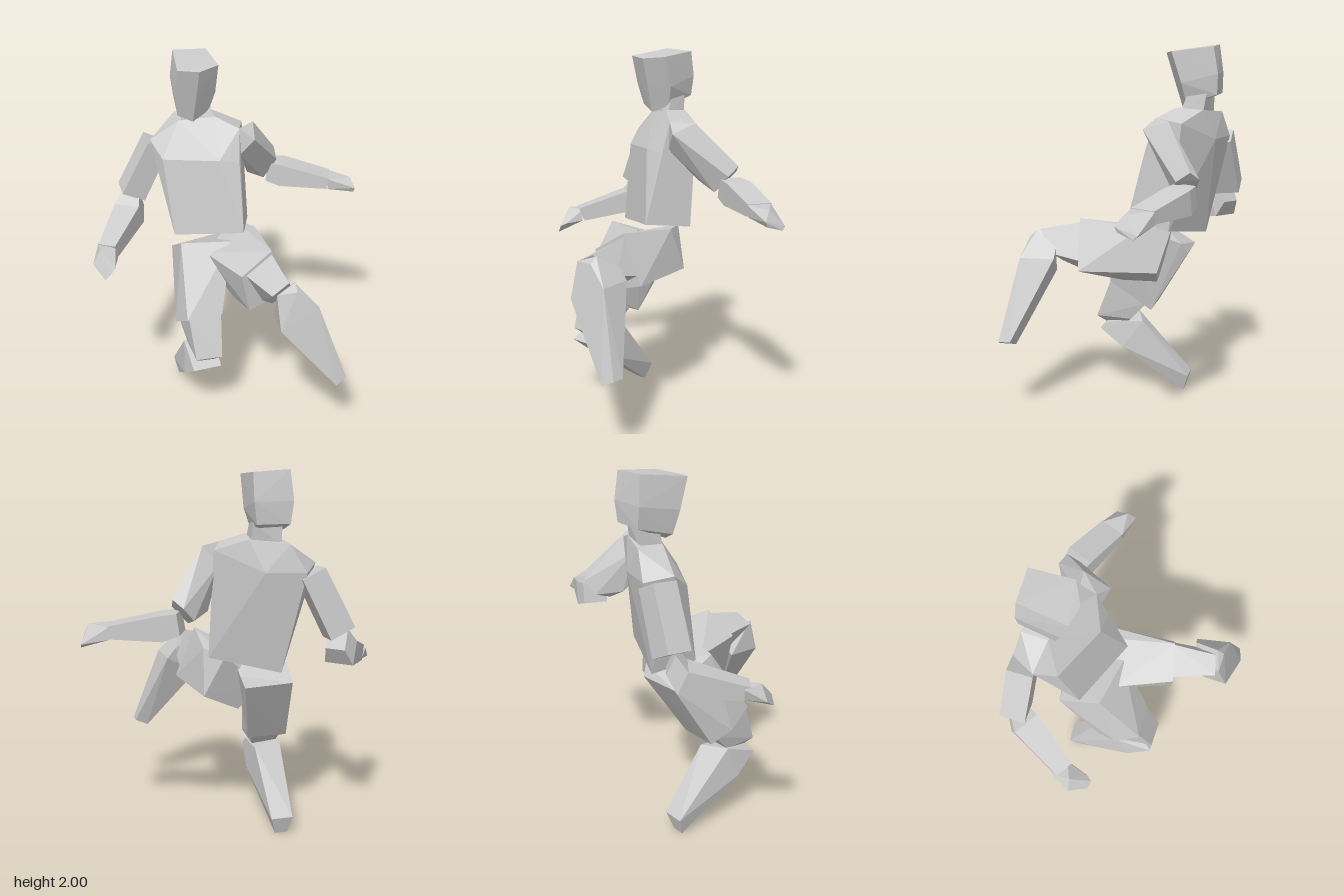
import * as THREE from 'three';
import { ConvexGeometry } from 'three/addons/geometries/ConvexGeometry.js';

const V = (p) => new THREE.Vector3(...p);

export function createModel() {
  const model = new THREE.Group();
  model.name = 'figure';
  const grey = new THREE.MeshStandardMaterial({ color: 0xcccccc });
  grey.name = 'grey';

  // Faceted solid spanned by a few corners
  const solid = (name, points, parent = model) => {
    const mesh = new THREE.Mesh(new ConvexGeometry(points), grey);
    mesh.name = name;
    parent.add(mesh);
  };
  const block = (name, ...rings) => solid(name, rings.flat().map(V));

  // Rectangular section: centre, half width along side, half depth across it
  const section = ([centre, w, d], side, across) =>
    [[-1, -1], [1, -1], [1, 1], [-1, 1]].map(([i, j]) =>
      V(centre).addScaledVector(side, i * w).addScaledVector(across, j * d));

  // Tapered limb made of one solid between each pair of sections
  const limb = (name, sideHint, sections) => {
    const group = new THREE.Group();
    group.name = name;
    const axis = V(sections.at(-1)[0]).sub(V(sections[0][0])).normalize();
    const across = new THREE.Vector3().crossVectors(axis, V(sideHint)).normalize();
    const side = new THREE.Vector3().crossVectors(across, axis);
    for (let i = 1; i < sections.length; i++) {
      solid(name + 'Segment' + i,
        [...section(sections[i - 1], side, across), ...section(sections[i], side, across)], group);
    }
    model.add(group);
  };

  // Head: crown, cheek and jaw rings, then the neck
  block('head',
    [[-0.265, 1.965, -0.25], [-0.155, 1.955, -0.22], [-0.035, 1.965, -0.27], [-0.035, 1.99, -0.495], [-0.22, 2, -0.5]],
    [[-0.27, 1.81, -0.3], [-0.16, 1.8, -0.268], [-0.037, 1.8, -0.325], [-0.035, 1.85, -0.52], [-0.235, 1.85, -0.52]],
    [[-0.25, 1.69, -0.332], [-0.17, 1.65, -0.315], [-0.07, 1.69, -0.348], [-0.05, 1.74, -0.515], [-0.22, 1.74, -0.52]]);
  block('neck',
    [[-0.21, 1.75, -0.39], [-0.06, 1.75, -0.36], [-0.05, 1.75, -0.46], [-0.19, 1.75, -0.48]],
    [[-0.22, 1.62, -0.37], [-0.05, 1.62, -0.31], [-0.04, 1.62, -0.44], [-0.19, 1.62, -0.48]]);

  // Torso: waist, chest, shoulders, neck base
  block('torso',
    [[-0.315, 1.02, -0.24], [0.03, 1.065, -0.05], [0.14, 1.03, -0.3], [-0.21, 0.965, -0.445]],
    [[-0.345, 1.45, -0.32], [-0.07, 1.465, -0.165], [0.04, 1.45, -0.15]],
    [[-0.385, 1.53, -0.43], [0.06, 1.62, -0.21], [0.125, 1.6, -0.36], [-0.3, 1.5, -0.555], [-0.1, 1.5, -0.505]],
    [[-0.235, 1.64, -0.38], [-0.05, 1.67, -0.3], [-0.03, 1.66, -0.445], [-0.22, 1.64, -0.52]]);

  // Left arm, stretched to the side
  block('leftUpperArm',
    [[0.06, 1.62, -0.21], [0.13, 1.565, -0.155], [0.17, 1.615, -0.3], [0.06, 1.47, -0.2], [0.09, 1.52, -0.32]],
    [[0.355, 1.38, -0.45], [0.345, 1.33, -0.375], [0.26, 1.235, -0.36], [0.155, 1.29, -0.35], [0.31, 1.34, -0.49], [0.25, 1.27, -0.46]]);
  limb('leftForearm', [-0.4, 0, 0.92], [
    [[0.31, 1.26, -0.425], 0.062, 0.055], [[0.39, 1.24, -0.4], 0.075, 0.065],
    [[0.63, 1.205, -0.275], 0.07, 0.033]]);
  block('leftHand',
    [[0.6, 1.235, -0.21], [0.655, 1.235, -0.34], [0.605, 1.17, -0.215], [0.655, 1.17, -0.34]],
    [[0.74, 1.23, -0.21], [0.755, 1.175, -0.165], [0.79, 1.12, -0.265], [0.79, 1.14, -0.285], [0.755, 1.145, -0.18]]);

  // Right arm, hanging bent
  limb('rightUpperArm', [0, 0, 1], [[[-0.335, 1.49, -0.495], 0.068, 0.065], [[-0.485, 1.185, -0.53], 0.068, 0.07]]);
  limb('rightForearm', [0.77, 0, 0.64], [
    [[-0.475, 1.15, -0.53], 0.05, 0.055], [[-0.515, 1.07, -0.49], 0.075, 0.065],
    [[-0.695, 0.99, -0.24], 0.05, 0.042]]);
  block('rightHand',
    [[-0.74, 1.02, -0.29], [-0.66, 1.02, -0.22], [-0.725, 0.96, -0.28], [-0.65, 0.955, -0.21]],
    [[-0.795, 0.945, -0.19], [-0.75, 1.03, -0.19], [-0.69, 0.945, -0.11], [-0.75, 0.885, -0.1], [-0.715, 0.93, -0.085]]);

  // Left leg, raised forward
  block('leftThigh',
    [[0.05, 1.03, -0.3], [0.13, 1.04, -0.15], [0.15, 0.8, -0.24], [-0.05, 0.7, -0.2], [-0.15, 0.85, -0.24], [-0.185, 0.96, -0.09]],
    [[0.1, 1.07, 0.2], [0.215, 0.8, 0.18], [-0.03, 0.73, 0.215], [-0.08, 0.96, 0.23], [-0.05, 0.697, 0]]);
  block('leftKnee',
    [[-0.06, 0.96, 0.2], [0.1, 1.05, 0.19], [0.19, 0.85, 0.17], [0.05, 0.77, 0.2]],
    [[0.01, 0.95, 0.45], [0.11, 1, 0.43], [0.18, 0.88, 0.33], [0.06, 0.82, 0.32]]);
  block('leftShin',
    [[0.03, 0.96, 0.465], [0.14, 1, 0.435], [0.14, 0.965, 0.475], [0.19, 0.92, 0.31]],
    [[0.035, 0.77, 0.52], [0.255, 0.865, 0.497], [0.235, 0.865, 0.31], [0.06, 0.76, 0.35]],
    [[0.335, 0.4, 0.595], [0.4, 0.43, 0.575], [0.4, 0.43, 0.51], [0.33, 0.4, 0.5]]);

  // Right leg, kneeling back
  block('rightThigh',
    [[-0.31, 1.02, -0.13], [-0.04, 1.02, -0.06], [-0.02, 0.93, -0.34], [-0.04, 0.87, -0.37], [-0.3, 0.88, -0.37]],
    [[-0.35, 0.66, 0.1], [-0.15, 0.66, 0.1], [-0.12, 0.51, -0.15], [-0.34, 0.51, -0.15], [-0.38, 0.575, -0.04]]);
  block('rightKnee',
    [[-0.34, 0.66, 0.095], [-0.155, 0.66, 0.095], [-0.15, 0.54, -0.12], [-0.34, 0.54, -0.12]],
    [[-0.325, 0.435, 0.17], [-0.18, 0.435, 0.185], [-0.175, 0.43, -0.02], [-0.32, 0.43, -0.02], [-0.25, 0.35, 0.08]]);
  block('rightShin',
    [[-0.31, 0.4, 0.13], [-0.185, 0.4, 0.13], [-0.34, 0.36, 0.165], [-0.18, 0.36, 0.165], [-0.34, 0.44, -0.03], [-0.18, 0.42, -0.09]],
    [[-0.36, 0.26, 0.03], [-0.165, 0.26, 0.03]],
    [[-0.3, 0, -0.325], [-0.23, 0, -0.325], [-0.32, 0.1, -0.355], [-0.2, 0.1, -0.355]]);

  return model;
}
